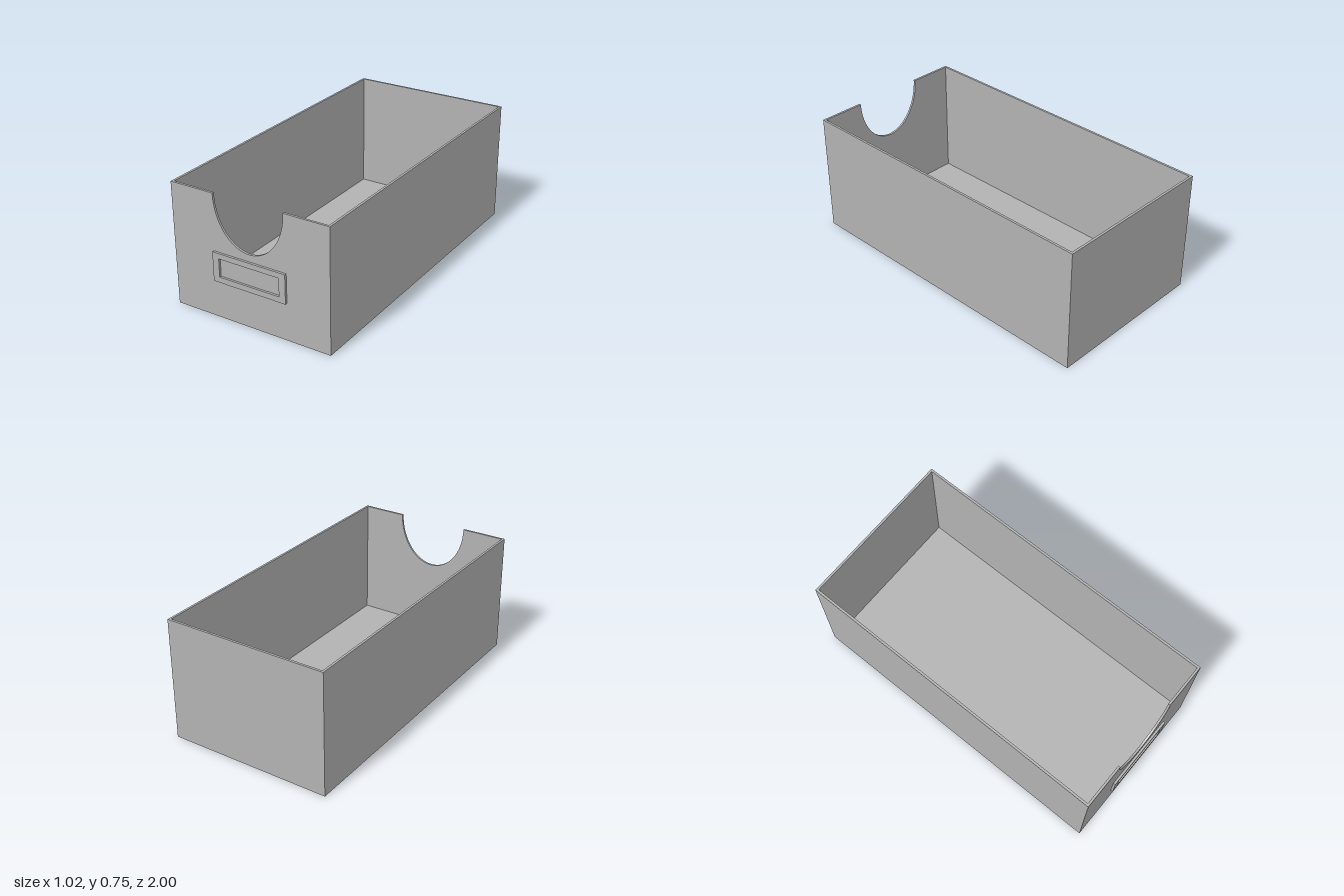
import * as THREE from 'three';

export function createModel() {
  const group = new THREE.Group();
  const gray = new THREE.MeshStandardMaterial({ color: 0xb2b2b2 });
  gray.name = 'gray';

  const W = 0.511, H = 0.755, T = 0.014; // half width, height, wall thickness
  const back = -1, front = 0.986;
  const depth = front - back, midZ = (front + back) / 2;

  const add = (name, geometry, x, y, z) => {
    const mesh = new THREE.Mesh(geometry, gray);
    mesh.name = name;
    mesh.position.set(x, y, z);
    group.add(mesh);
  };
  const rect = (Type, x, y0, y1) => new Type([
    new THREE.Vector2(-x, y0), new THREE.Vector2(x, y0),
    new THREE.Vector2(x, y1), new THREE.Vector2(-x, y1),
  ]);
  const extrude = (shape, d) =>
    new THREE.ExtrudeGeometry(shape, { depth: d, bevelEnabled: false, curveSegments: 48 });

  // Floor, back and side walls
  const inner = 2 * (W - T);
  add('floor', new THREE.BoxGeometry(inner, T, depth - 2 * T), 0, T / 2, midZ);
  add('backWall', new THREE.BoxGeometry(inner, H, T), 0, H / 2, back + T / 2);
  for (const [name, s] of [['leftWall', 1], ['rightWall', -1]]) {
    add(name, new THREE.BoxGeometry(T, H, depth), s * (W - T / 2), H / 2, midZ);
  }

  // Front wall with a half-oval finger notch
  const notchX = 0.227, notchY = 0.303;
  const wall = new THREE.Shape();
  wall.moveTo(-W + T, 0);
  wall.lineTo(W - T, 0);
  wall.lineTo(W - T, H);
  wall.lineTo(notchX, H);
  wall.absellipse(0, H, notchX, notchY, 0, Math.PI, true);
  wall.lineTo(-W + T, H);
  add('frontWall', extrude(wall, T), 0, 0, front - T);

  // Raised label holder frame
  const frame = rect(THREE.Shape, 0.238, 0.23, 0.409);
  frame.holes.push(rect(THREE.Path, 0.197, 0.264, 0.376));
  add('labelFrame', extrude(frame, 1 - front), 0, 0, front);

  return group;
}
